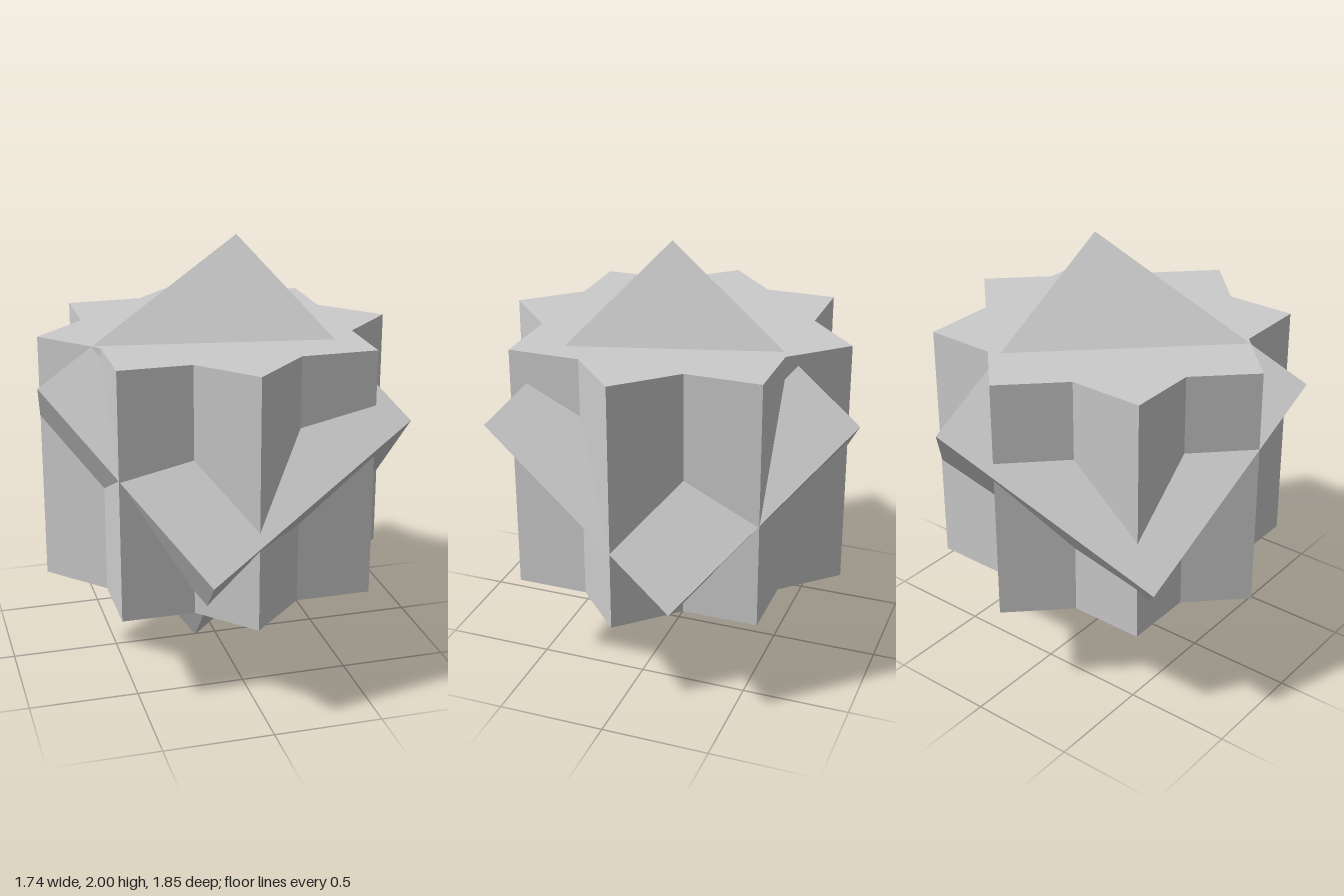
import * as THREE from 'three';

const SIDE = 1.16;

export function createModel() {
  const group = new THREE.Group();
  group.name = 'threeCubeCompound';
  const material = new THREE.MeshStandardMaterial({ color: 0xcccccc, flatShading: true });
  const geometry = new THREE.BoxGeometry(SIDE, SIDE, SIDE);

  // All three cubes are the same size and share one centre
  const addCube = (name) => {
    const cube = new THREE.Mesh(geometry, material);
    cube.name = name;
    cube.position.y = 1;
    group.add(cube);
    return cube;
  };

  // Square-on cube
  addCube('straightCube');

  // Cube turned about the vertical axis
  addCube('turnedCube').rotation.y = 0.76;

  // Cube standing nearly on its corner, oriented by two of its edges
  const edgeA = new THREE.Vector3(0.97, 0.57, -0.275).normalize();
  const edgeB = new THREE.Vector3(-0.62, 0.73, -0.655);
  const edgeC = new THREE.Vector3().crossVectors(edgeA, edgeB).normalize();
  edgeB.crossVectors(edgeC, edgeA);
  addCube('tippedCube').quaternion.setFromRotationMatrix(
    new THREE.Matrix4().makeBasis(edgeA, edgeB, edgeC)
  );

  return group;
}
